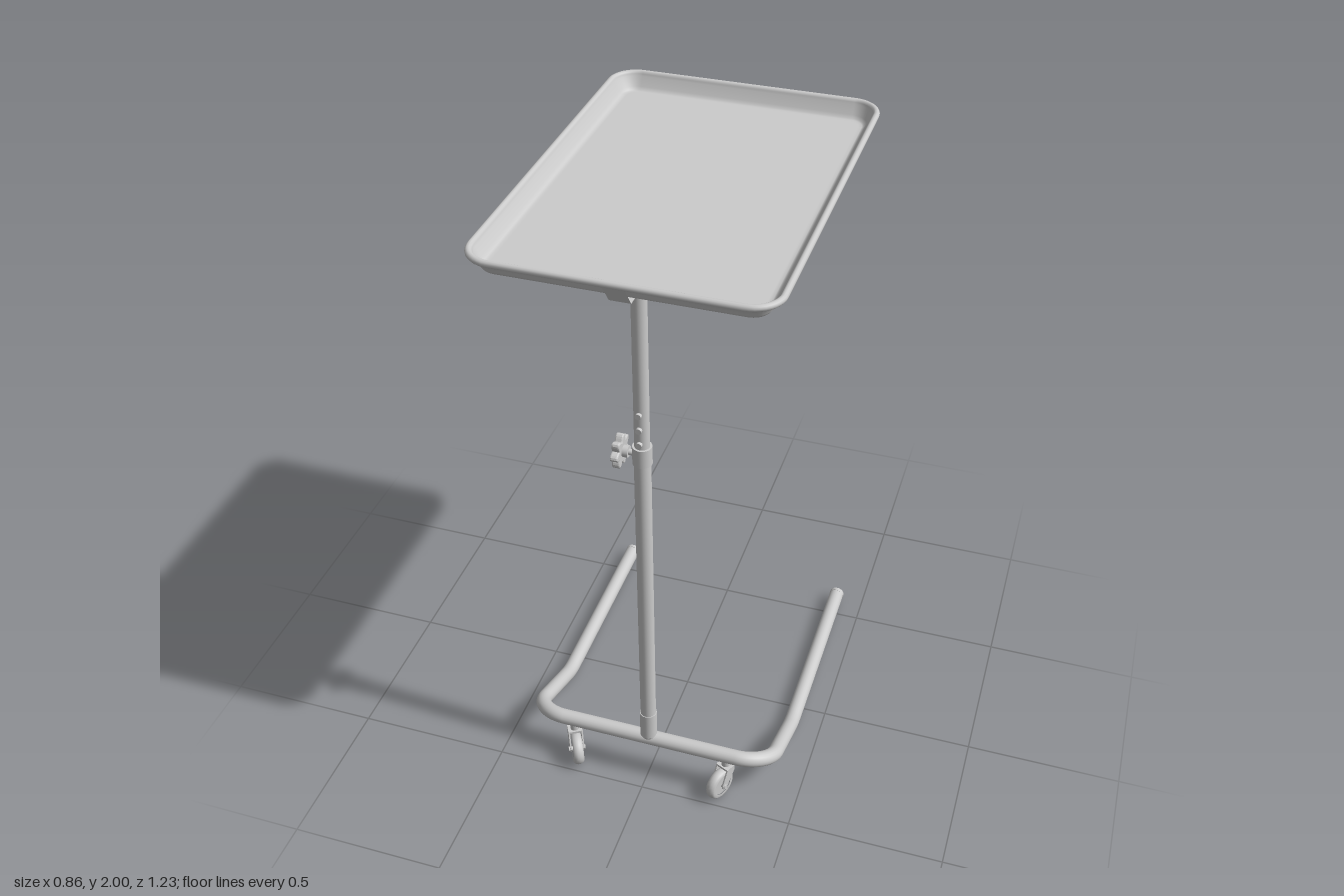
import * as THREE from 'three';

const metal = new THREE.MeshStandardMaterial({ color: 0xcccccc });
const sheet = new THREE.MeshStandardMaterial({ color: 0xcccccc, side: THREE.DoubleSide });
const POLE_Z = 0.42;

function add(parent, name, geometry, x = 0, y = 0, z = 0, material = metal) {
  const mesh = new THREE.Mesh(geometry, material);
  mesh.name = name;
  mesh.position.set(x, y, z);
  parent.add(mesh);
  return mesh;
}

const cylinder = (r, h, r2 = r) => new THREE.CylinderGeometry(r, r2, h, 28);

// Tray: a [inset, height] profile swept around a rounded rectangle
function trayGeometry() {
  const W = 0.425, D = 0.615, R = 0.09, STEPS = 10;
  const profile = [[0.06, 1.947], [0.05, 1.947], [0.044, 1.95], [0.037, 1.958], [0.022, 1.985]];
  for (let k = 0; k <= 8; k++) {
    const a = Math.PI * (0.95 - k * 0.18);
    profile.push([0.01 - 0.01 * Math.cos(a), 1.99 + 0.01 * Math.sin(a)]);
  }
  profile.push([0.024, 1.978], [0.035, 1.952], [0.041, 1.943], [0.048, 1.94], [0.06, 1.94]);
  const rings = [[null, 1.947], ...profile, [null, 1.94]];
  const n = 4 * (STEPS + 1);
  const positions = [], index = [];
  rings.forEach(([inset, y], j) => {
    for (let c = 0; c < 4; c++) {
      const sx = c === 0 || c === 3 ? 1 : -1, sz = c < 2 ? 1 : -1;
      for (let s = 0; s <= STEPS; s++) {
        if (inset === null) { positions.push(0, y, 0); continue; }
        const a = (c + s / STEPS) * Math.PI / 2, r = R - inset;
        positions.push(sx * (W - R) + r * Math.cos(a), y, sz * (D - R) + r * Math.sin(a));
      }
    }
    if (j === rings.length - 1) return;
    for (let i = 0; i < n; i++) {
      const a = j * n + i, b = j * n + (i + 1) % n;
      if (j > 0) index.push(a, b, a + n);
      if (j === 0) index.push(a, b + n, a + n);
      else if (j < rings.length - 2) index.push(b, b + n, a + n);
    }
  });
  const g = new THREE.BufferGeometry();
  g.setAttribute('position', new THREE.Float32BufferAttribute(positions, 3));
  g.setIndex(index);
  g.computeVertexNormals();
  return g;
}

// Thin strap under the tray, turned up at both ends
function strapGeometry() {
  const path = [[0.61, 1.985], [0.56, 1.915], [-0.56, 1.915], [-0.61, 1.985]];
  const positions = [];
  for (let i = 0; i < 3; i++) {
    const [z0, y0] = path[i], [z1, y1] = path[i + 1], w = 0.03;
    positions.push(-w, y0, z0, -w, y1, z1, w, y0, z0, w, y0, z0, -w, y1, z1, w, y1, z1);
  }
  const g = new THREE.BufferGeometry();
  g.setAttribute('position', new THREE.Float32BufferAttribute(positions, 3));
  g.computeVertexNormals();
  return g;
}

// Bent tube through corner points, each corner rounded over its own length
function bentTube(corners, cuts, radius) {
  const pts = corners.map(p => new THREE.Vector3(...p));
  const path = new THREE.CurvePath();
  let from = pts[0];
  for (let i = 1; i < pts.length - 1; i++) {
    const p = pts[i];
    const a = p.clone().add(pts[i - 1].clone().sub(p).setLength(cuts[i]));
    const b = p.clone().add(pts[i + 1].clone().sub(p).setLength(cuts[i]));
    path.add(new THREE.LineCurve3(from, a));
    path.add(new THREE.CubicBezierCurve3(a, a.clone().lerp(p, 0.55), b.clone().lerp(p, 0.55), b));
    from = b;
  }
  path.add(new THREE.LineCurve3(from, pts[pts.length - 1]));
  return new THREE.TubeGeometry(path, 260, radius, 20);
}

// Swivel caster: wheel centre at the group's origin, axle along x
function caster(name, x, yaw) {
  const g = new THREE.Group();
  g.name = name;
  g.position.set(x, 0.055, 0.45);
  g.rotation.y = yaw;
  const tyre = [[0.036, -0.016], [0.046, -0.017], [0.052, -0.012], [0.055, -0.004],
    [0.055, 0.004], [0.052, 0.012], [0.046, 0.017], [0.036, 0.016]];
  const wheel = add(g, 'wheelTyre', new THREE.LatheGeometry(tyre.map(p => new THREE.Vector2(...p)), 32));
  const hub = add(g, 'wheelHub', cylinder(0.037, 0.026));
  const axle = add(g, 'wheelAxle', cylinder(0.008, 0.056));
  for (const m of [wheel, hub, axle]) m.rotation.z = Math.PI / 2;
  // Fork cheeks
  const cheek = new THREE.Shape([[-0.046, 0.066], [-0.012, 0.066], [0.012, 0.006],
    [0.007, -0.009], [-0.008, -0.01], [-0.046, 0.045]].map(p => new THREE.Vector2(...p)));
  for (const side of [-1, 1]) {
    const geo = new THREE.ExtrudeGeometry(cheek, { depth: 0.005, bevelEnabled: false });
    geo.translate(0, 0, -0.0025).rotateY(-Math.PI / 2);
    add(g, 'casterFork', geo, side * 0.0215, 0, 0);
  }
  add(g, 'forkBridge', new THREE.BoxGeometry(0.046, 0.008, 0.036), 0, 0.062, -0.029);
  add(g, 'casterStem', cylinder(0.014, 0.035), 0, 0.08, -0.03);
  return g;
}

// Star-shaped clamp knob on the side of the pole
function knob() {
  const g = new THREE.Group();
  g.name = 'heightKnob';
  const shape = new THREE.Shape();
  for (let i = 0; i < 84; i++) {
    const a = i / 84 * Math.PI * 2, r = 0.039 + 0.009 * Math.cos(7 * a);
    shape[i ? 'lineTo' : 'moveTo'](r * Math.cos(a), r * Math.sin(a));
  }
  const star = new THREE.ExtrudeGeometry(shape,
    { depth: 0.016, bevelThickness: 0.004, bevelSize: 0.004, bevelSegments: 2 });
  star.rotateY(-Math.PI / 2);
  add(g, 'knobStar', star, -0.06, 0, 0);
  add(g, 'knobHub', cylinder(0.018, 0.02), -0.05, 0, 0).rotation.z = Math.PI / 2;
  add(g, 'knobScrew', cylinder(0.009, 0.05), -0.035, 0, 0).rotation.z = Math.PI / 2;
  g.position.set(0, 1.33, POLE_Z);
  return g;
}

export function createModel() {
  const model = new THREE.Group();
  model.name = 'overbedTrayStand';

  // Tray and its support
  add(model, 'tray', trayGeometry());
  add(model, 'traySupportStrap', strapGeometry(), 0, 0, 0, sheet);

  // Telescopic pole
  add(model, 'upperPole', cylinder(0.0225, 0.615), 0, 1.6075, POLE_Z);
  add(model, 'lowerPole', cylinder(0.025, 1.14), 0, 0.75, POLE_Z);
  add(model, 'poleCollar', cylinder(0.029, 0.06), 0, 1.33, POLE_Z);
  add(model, 'poleSocket', cylinder(0.0275, 0.1), 0, 0.23, POLE_Z);
  add(model, 'poleSocketFoot', cylinder(0.0275, 0.02, 0.018), 0, 0.17, POLE_Z);
  for (const y of [1.38, 1.43, 1.48]) {
    add(model, 'heightStop', cylinder(0.009, 0.064), 0, y, POLE_Z).rotation.x = Math.PI / 2;
  }
  model.add(knob());

  // U-shaped base: cross bar, sloping corners and two floor runners
  const X = 0.405;
  add(model, 'baseTube', bentTube([
    [-X, 0.03, -0.575], [-X, 0.03, 0.1], [-X, 0.16, POLE_Z],
    [X, 0.16, POLE_Z], [X, 0.03, 0.1], [X, 0.03, -0.575],
  ], [0, 0.03, 0.11, 0.11, 0.03, 0], 0.025));
  for (const side of [-1, 1]) {
    add(model, 'runnerEndCap', cylinder(0.0255, 0.012), side * X, 0.03, -0.574).rotation.x = Math.PI / 2;
  }

  model.add(caster('rightCaster', -0.245, 0.52), caster('leftCaster', 0.252, -0.42));
  return model;
}
